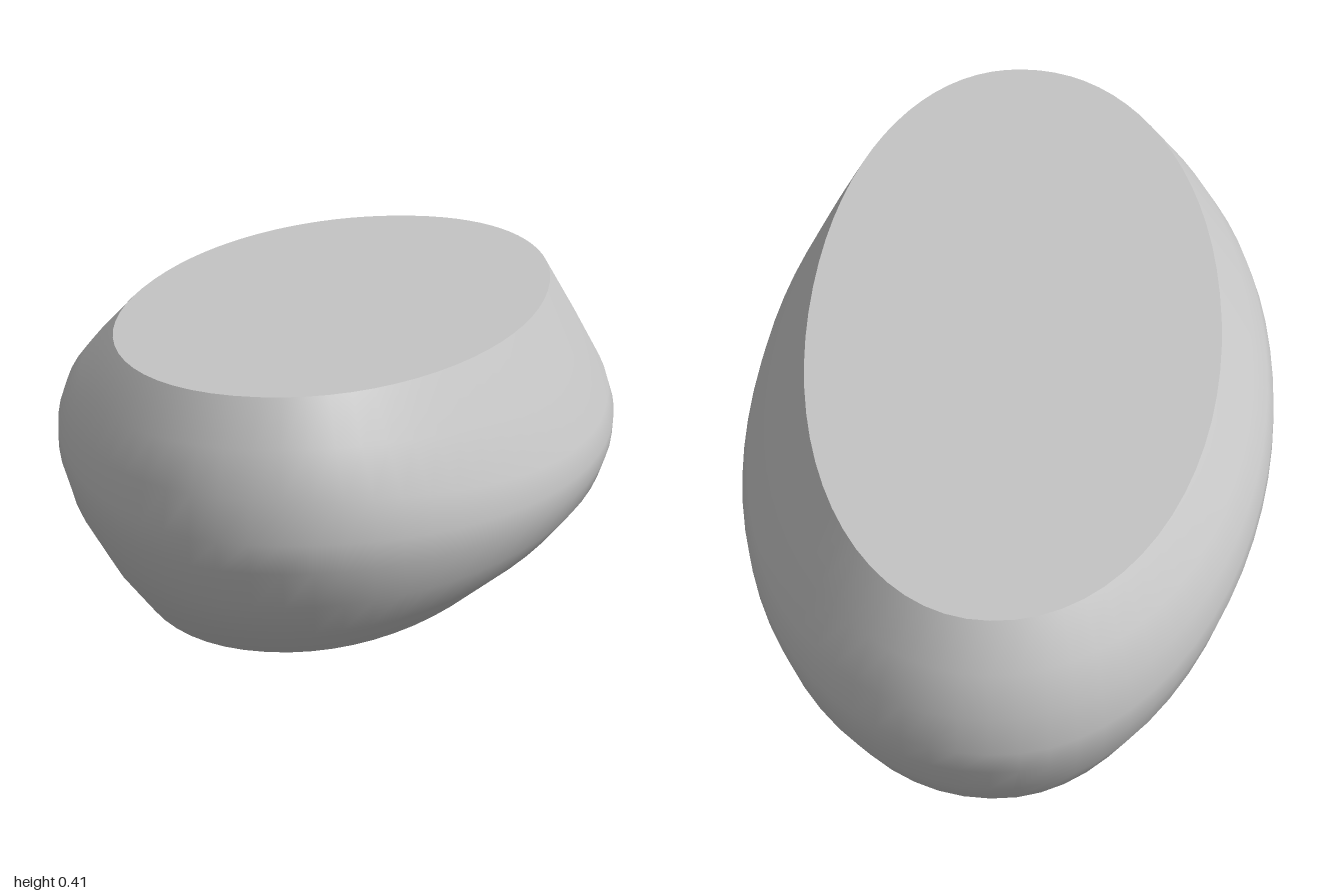
import * as THREE from 'three';

// Rim profiles from base to top: [radius, height] on each flank and at the two ends
const LEFT_FLANK = [[.36, 0], [.455, .075], [.485, .105], [.498, .14], [.5, .17], [.488, .207], [.43, .31], [.37, .413]];
const RIGHT_FLANK = [[.365, 0], [.43, .12], [.488, .23], [.5, .265], [.498, .29], [.485, .32], [.455, .353], [.395, .413]];
const ENDS = [[.88, 0], [.94, .05], [.973, .105], [.994, .165], [1, .21], [.99, .275], [.968, .345], [.92, .413]];
const SEGMENTS = 72;

// One oval ring, with heights blended from the flanks to the ends
function ring(level) {
  const points = [];
  for (let j = 0; j < SEGMENTS; j++) {
    const a = (j / SEGMENTS) * Math.PI * 2;
    const c = Math.cos(a), s = Math.sin(a);
    const flank = (c > 0 ? LEFT_FLANK : RIGHT_FLANK)[level];
    const end = ENDS[level];
    const round = (v) => Math.sign(v) * Math.abs(v) ** 0.96;
    points.push([round(c) * flank[0], flank[1] * c * c + end[1] * s * s, round(s) * end[0]]);
  }
  return points;
}

function makeMesh(name, points, index, material) {
  const geometry = new THREE.BufferGeometry();
  geometry.setAttribute('position', new THREE.Float32BufferAttribute(points.flat(), 3));
  geometry.setIndex(index);
  geometry.computeVertexNormals();
  const mesh = new THREE.Mesh(geometry, material);
  mesh.name = name;
  return mesh;
}

// Flat oval face closing one end of the body
function cap(name, points, up, material) {
  const index = [];
  for (let j = 0; j < SEGMENTS; j++) {
    const next = (j + 1) % SEGMENTS;
    index.push(SEGMENTS, up ? next : j, up ? j : next);
  }
  return makeMesh(name, [...points, [0, points[0][1], 0]], index, material);
}

export function createModel() {
  const group = new THREE.Group();
  group.name = 'slantedOvalStone';
  const grey = new THREE.MeshStandardMaterial({ color: 0xc4c4c4 });
  grey.name = 'light grey';

  // Smooth rounded rim
  const rings = ENDS.map((_, i) => ring(i));
  const index = [];
  for (let i = 0; i < rings.length - 1; i++) {
    for (let j = 0; j < SEGMENTS; j++) {
      const a = i * SEGMENTS + j, b = i * SEGMENTS + (j + 1) % SEGMENTS;
      const c = a + SEGMENTS, d = b + SEGMENTS;
      index.push(a, c, b, b, c, d);
    }
  }
  group.add(makeMesh('rim', rings.flat(), index, grey));

  // Flat top and base
  group.add(cap('topFace', rings[rings.length - 1], true, grey));
  group.add(cap('baseFace', rings[0], false, grey));
  return group;
}
